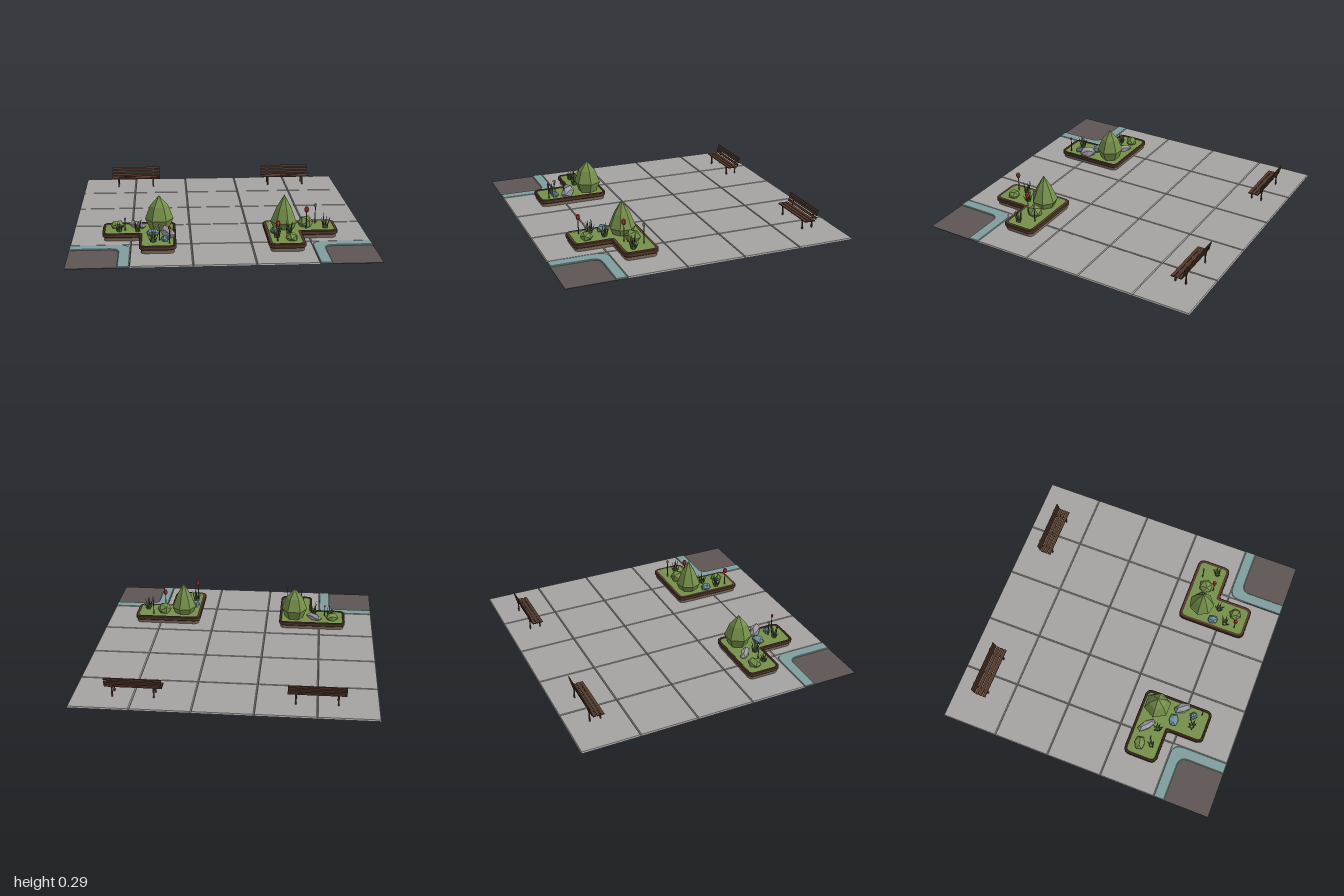
import * as THREE from 'three';

const mat = (name, color) => {
  const m = new THREE.MeshStandardMaterial({ color });
  m.name = name;
  return m;
};

export function createModel() {
  const M = {
    paving: mat('paving grey', 0xa5a3a1),
    curb: mat('curb teal', 0x7f9d9d),
    road: mat('road brown grey', 0x5d5554),
    wood: mat('dark wood', 0x53382a),
    wall: mat('planter wall', 0x77685c),
    foliage: mat('foliage green', 0x76904a),
    leaf: mat('leaf green', 0x52663a),
    stone: mat('grey stone', 0x9b9a9f),
    blueStone: mat('blue stone', 0x7090a0),
    petal: mat('petal red', 0xb5343a),
  };
  const root = new THREE.Group();
  root.name = 'plaza';

  // faceted mesh with flat normals
  const add = (parent, name, geo, material, x = 0, y = 0, z = 0) => {
    const g = geo.index ? geo.toNonIndexed() : geo;
    g.computeVertexNormals();
    const mesh = new THREE.Mesh(g, material);
    mesh.name = name;
    mesh.position.set(x, y, z);
    parent.add(mesh);
    return mesh;
  };

  // closed outline from [x, z, cornerRadius] points
  const outline = (pts, Kind = THREE.Shape) => {
    const s = new Kind();
    const v = pts.map(([x, z]) => new THREE.Vector2(x, -z));
    const n = v.length;
    pts.forEach(([, , r = 0], i) => {
      const p = v[i];
      const toward = (q) => p.clone().add(q.clone().sub(p).setLength(r));
      const a = toward(v[(i + n - 1) % n]), b = toward(v[(i + 1) % n]);
      if (i === 0) s.moveTo(a.x, a.y); else s.lineTo(a.x, a.y);
      if (r) s.quadraticCurveTo(p.x, p.y, b.x, b.y);
    });
    s.closePath();
    return s;
  };
  // horizontal slab between two heights
  const slab = (shape, y0, y1, bevel = 0) => {
    const g = new THREE.ExtrudeGeometry(shape, {
      depth: y1 - y0 - 2 * bevel, curveSegments: 5, bevelEnabled: bevel > 0,
      bevelThickness: bevel, bevelSize: bevel, bevelOffset: -bevel, bevelSegments: 1,
    });
    return g.rotateX(-Math.PI / 2).translate(0, y0 + bevel, 0);
  };
  const mirror = (pts, s) => pts.map(([x, z, r]) => [x * s, z, r]);

  // paving tiles with chamfered tops
  for (let i = 0; i < 5; i++) for (let j = 0; j < 5; j++) {
    if (j === 4 && i % 4 === 0) continue;
    const g = new THREE.BoxGeometry(0.4, 0.01, 0.4);
    const p = g.attributes.position;
    for (let k = 0; k < p.count; k++) if (p.getY(k) > 0) {
      p.setX(k, p.getX(k) * 0.975);
      p.setZ(k, p.getZ(k) * 0.975);
    }
    add(root, 'pavingTile', g, M.paving, -0.8 + i * 0.4, 0.007, -0.8 + j * 0.4);
  }

  // rounded street corners
  for (const s of [-1, 1]) {
    add(root, 'cornerPaving', slab(outline(mirror([[0.6, 0.6], [0.7, 0.6], [0.64, 0.64, 0.02], [0.6, 0.7]], s)),
      0.002, 0.01), M.paving);
    add(root, 'curb', slab(outline(mirror([[0.6, 0.6, 0.08], [1, 0.6], [1, 0.676], [0.676, 0.676, 0.06],
      [0.676, 1], [0.6, 1]], s)), 0.001, 0.014, 0.004), M.curb);
    add(root, 'road', slab(outline(mirror([[0.67, 0.67, 0.06], [1, 0.67], [1, 1], [0.67, 1]], s)),
      0.002, 0.006), M.road);
  }

  // park benches
  for (const s of [-1, 1]) {
    const bench = new THREE.Group();
    bench.name = 'bench';
    bench.position.set(s * 0.597, 0, 0);
    root.add(bench);
    for (const z of [-0.771, -0.798, -0.825])
      add(bench, 'seatSlat', new THREE.BoxGeometry(0.38, 0.007, 0.022), M.wood, 0, 0.08, z);
    for (let k = 0; k < 3; k++)
      add(bench, 'backSlat', new THREE.BoxGeometry(0.38, 0.017, 0.006), M.wood,
        0, 0.096 + k * 0.024, -0.843 - k * 0.006).rotation.x = -0.24;
    for (const x of [-0.137, 0.137]) {
      for (const z of [-0.768, -0.842])
        add(bench, 'leg', new THREE.BoxGeometry(0.01, 0.08, 0.007), M.wood, x, 0.04, z);
      add(bench, 'seatRail', new THREE.BoxGeometry(0.01, 0.006, 0.08), M.wood, x, 0.074, -0.805);
      add(bench, 'backPost', new THREE.BoxGeometry(0.01, 0.074, 0.005), M.wood, x, 0.114, -0.853).rotation.x = -0.24;
    }
  }

  // L-shaped planters
  const ell = (i, s, dz) => {
    const a = 0.543 - i, x1 = 0.792 - i, z1 = 0.798 - i, o = 0.3 + i, r = 0.05 - i;
    return mirror([[o, o, r], [x1, o, r], [x1, a, r], [a, a, 0.015], [a, z1, r], [o, z1, r]], s)
      .map(([x, z, q]) => [x, z + dz, q]);
  };
  const planters = {};
  for (const s of [-1, 1]) {
    const dz = s < 0 ? -0.01 : 0;
    const g = planters[s] = new THREE.Group();
    g.name = s < 0 ? 'rightPlanter' : 'leftPlanter';
    root.add(g);
    const rim = outline(ell(0, s, dz));
    rim.holes.push(outline(ell(0.018, s, dz), THREE.Path));
    add(g, 'planterWall', slab(outline(ell(0.012, s, dz)), 0.003, 0.042), M.wall);
    add(g, 'planterFoot', slab(outline(ell(0.012, s, dz)), 0, 0.003), M.wood);
    add(g, 'planterRim', slab(rim, 0.036, 0.066, 0.005), M.wood);
    add(g, 'planting', slab(outline(ell(0.014, s, dz)), 0.042, 0.06), M.foliage);
  }

  // tall pointed bushes
  const bush = (s, x, z, sides, turn, profile) => {
    const pts = profile.map(([r, y]) => new THREE.Vector2(r, y));
    add(planters[s], 'pointedBush', new THREE.LatheGeometry(pts, sides), M.foliage, x, 0, z).rotation.y = turn;
  };
  bush(-1, -0.41, 0.405, 6, Math.PI / 6,
    [[0, 0.055], [0.065, 0.058], [0.096, 0.13], [0.062, 0.22], [0, 0.292]]);
  bush(1, 0.435, 0.435, 7, 0.2,
    [[0, 0.055], [0.07, 0.058], [0.092, 0.105], [0.054, 0.2], [0, 0.292]]);

  // low bushes and rocks: faceted lumps [side, x, z, rx, ry, rz, turn]
  const lump = (name, material, [s, x, z, rx, ry, rz, turn]) => {
    const g = new THREE.IcosahedronGeometry(1, 0).scale(rx, ry, rz);
    add(planters[s], name, g, material, x, 0.06 + ry * 0.5, z).rotation.y = turn;
  };
  [[-1, -0.695, 0.38, 0.052, 0.035, 0.042, 0.2], [1, 0.585, 0.415, 0.055, 0.05, 0.055, 0.5],
    [1, 0.455, 0.69, 0.045, 0.035, 0.045, 0.9]].forEach((d) => lump('lowBush', M.foliage, d));
  [[-1, -0.56, 0.38, 0.075, 0.03, 0.032, -0.7], [-1, -0.355, 0.575, 0.068, 0.05, 0.036, -0.9]]
    .forEach((d) => lump('greyRock', M.stone, d));
  [[-1, -0.455, 0.545, 0.048, 0.03, 0.038, 0.2], [-1, -0.375, 0.665, 0.028, 0.025, 0.03, 0.8],
    [1, 0.36, 0.55, 0.034, 0.03, 0.042, 0.3]].forEach((d) => lump('blueRock', M.blueStone, d));

  // grass tufts: a ring of leaning blades
  const tuft = ([s, x, z, h]) => {
    const g = new THREE.Group();
    g.name = 'grassTuft';
    g.position.set(x, 0.056, z);
    planters[s].add(g);
    for (let k = 0; k < 7; k++) {
      const len = h * (1 - 0.13 * (k % 4));
      const lean = 0.12 + 0.13 * (k % 4);
      const blade = new THREE.ConeGeometry(0.011, len, 3).scale(1, 1, 0.5)
        .translate(0, len / 2, 0).rotateX(lean).translate(0, 0, 0.01).rotateY(k * 0.9 + x * 9);
      add(g, 'grassBlade', blade, M.leaf);
    }
  };
  [[-1, -0.68, 0.46, 0.075], [-1, -0.555, 0.465, 0.11], [-1, -0.45, 0.68, 0.11],
    [1, 0.715, 0.46, 0.11], [1, 0.455, 0.565, 0.1], [1, 0.365, 0.64, 0.11]].forEach(tuft);

  // flowers and grey buds on thin stems
  const flower = (name, material, [s, x, z, top, r]) => {
    const h = top - 0.055 - r;
    add(planters[s], 'stem', new THREE.CylinderGeometry(0.003, 0.004, h, 5), M.leaf, x, 0.055 + h / 2, z);
    add(planters[s], name, new THREE.SphereGeometry(r, 6, 4).scale(1, 1.5, 1), material, x, top - r * 1.5, z);
  };
  [[1, 0.36, 0.715, 0.205, 0.016], [1, 0.583, 0.475, 0.22, 0.016], [-1, -0.345, 0.72, 0.18, 0.009]]
    .forEach((d) => flower('redFlower', M.petal, d));
  [[1, 0.66, 0.365, 0.205, 0.01], [-1, -0.41, 0.655, 0.175, 0.009], [-1, -0.64, 0.44, 0.15, 0.007]]
    .forEach((d) => flower('greyBud', M.stone, d));

  return root;
}
